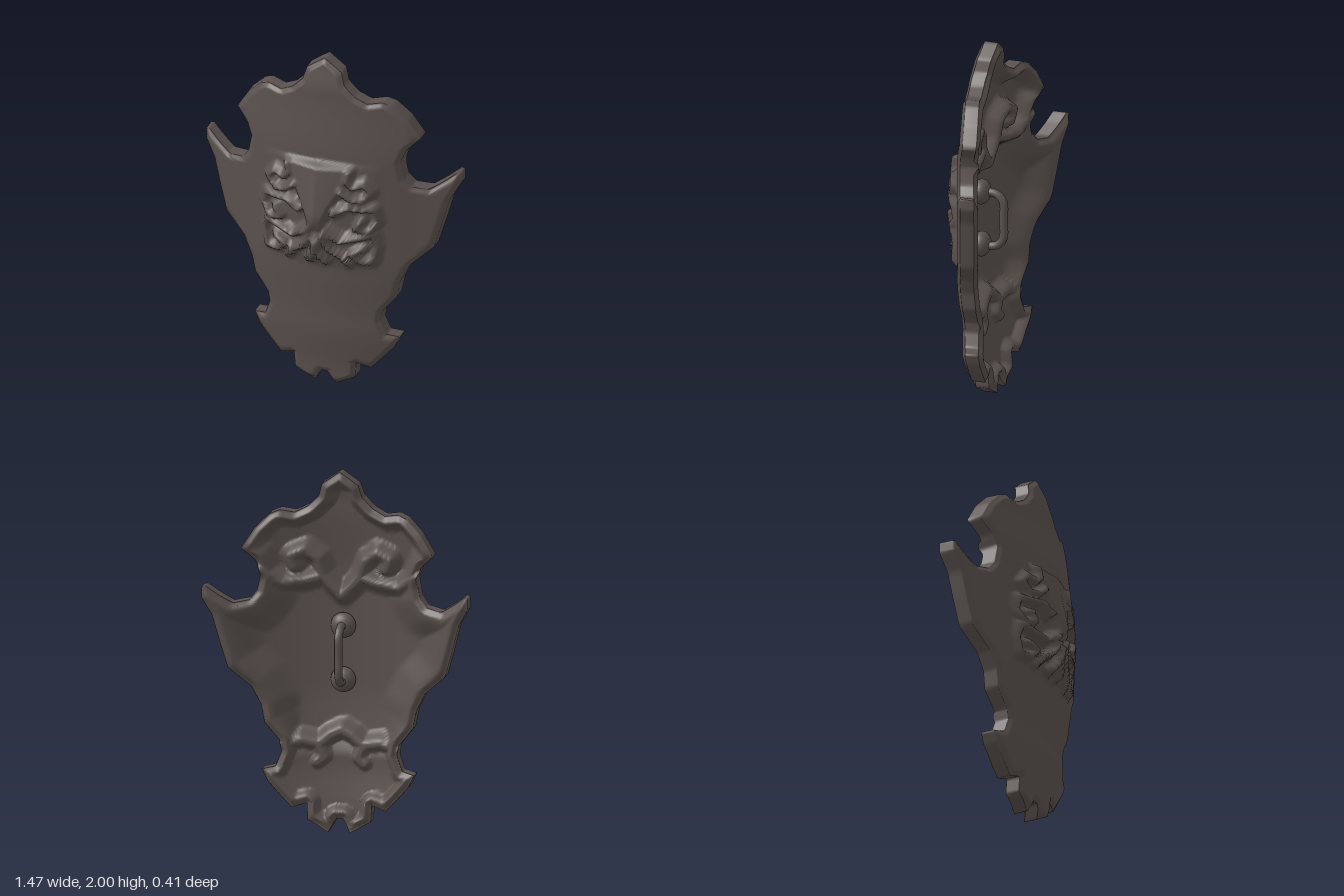
import * as THREE from 'three';
import { mergeVertices } from 'three/addons/utils/BufferGeometryUtils.js';

const smooth = THREE.MathUtils.smoothstep;

// Half outline from top to bottom: x, y and the height of the matching point on the spine
const OUTLINE = [
  [0, 2, 1.85], [0.1, 1.93, 1.83], [0.12, 1.86, 1.8], [0.18, 1.8, 1.74], [0.25, 1.765, 1.69],
  [0.33, 1.78, 1.62], [0.38, 1.76, 1.56], [0.46, 1.68, 1.48], [0.53, 1.57, 1.41], [0.46, 1.5, 1.37],
  [0.43, 1.43, 1.33], [0.45, 1.33, 1.24], [0.49, 1.28, 1.15], [0.58, 1.265, 1.02], [0.66, 1.32, 0.87],
  [0.715, 1.365, 0.79], [0.735, 1.36, 0.76], [0.735, 1.3, 0.72], [0.68, 1.2, 0.7], [0.64, 1.05, 0.66],
  [0.6, 0.91, 0.62], [0.48, 0.8, 0.58], [0.43, 0.7, 0.55], [0.41, 0.6, 0.53], [0.33, 0.5, 0.5],
  [0.32, 0.44, 0.47], [0.35, 0.36, 0.42], [0.42, 0.345, 0.36], [0.39, 0.28, 0.31], [0.32, 0.2, 0.27],
  [0.26, 0.135, 0.23], [0.18, 0.16, 0.2], [0.175, 0.07, 0.16], [0.06, 0.005, 0.12], [0.02, 0.08, 0.1],
  [0, 0.08, 0.08],
];

// Depth of the front along the centre line: y, z
const CENTRE = [[0, 0.01], [0.06, 0.03], [0.4, 0.065], [0.8, 0.09], [1.4, 0.09], [1.8, 0.06], [2, 0.03]];

// Raised ribs and curls on the back
const BACK_RIBS = [
  [[0.43, 1.44], [0.32, 1.37], [0.2, 1.38], [0.1, 1.41], [0.05, 1.35], [0, 1.3]],
  [[0.1, 1.41], [0.13, 1.5], [0.2, 1.55], [0.27, 1.52], [0.25, 1.46]],
  [[0.32, 0.47], [0.22, 0.5], [0.12, 0.48], [0.06, 0.53], [0, 0.56]],
  [[0.12, 0.47], [0.09, 0.41], [0.13, 0.38]],
];

// Leafy curls around the mask on the front
const LEAVES = [
  [[0.18, 1.38], [0.17, 1.32], [0.2, 1.29], [0.26, 1.31], [0.3, 1.26], [0.25, 1.21], [0.19, 1.22], [0.14, 1.26]],
  [[0.1, 1.13], [0.17, 1.17], [0.25, 1.16], [0.32, 1.16], [0.34, 1.08], [0.29, 1.02], [0.22, 1.04], [0.25, 1.09]],
  [[0.04, 1.02], [0.13, 0.96], [0.22, 0.98], [0.31, 1.0], [0.33, 0.92], [0.31, 0.83], [0.24, 0.83], [0.19, 0.88], [0.25, 0.91]],
  [[0.03, 0.98], [0.08, 0.9], [0.14, 0.86], [0.18, 0.8]],
  [[0, 0.97], [0.01, 0.88], [0.05, 0.81]],
];

// Shortest distance from a point to a polyline
function distance(x, y, path) {
  let best = Infinity;
  for (let i = 0; i < path.length - 1; i++) {
    const [ax, ay] = path[i], [bx, by] = path[i + 1];
    const dx = bx - ax, dy = by - ay;
    const t = THREE.MathUtils.clamp(((x - ax) * dx + (y - ay) * dy) / (dx * dx + dy * dy), 0, 1);
    best = Math.min(best, Math.hypot(x - ax - dx * t, y - ay - dy * t));
  }
  return best;
}

// Height of the nearest rib, from 0 to 1
function ribs(x, y, paths, inner, outer) {
  const d = Math.min(...paths.map((path) => distance(x, y, path)));
  return 1 - smooth(d, inner, outer);
}

// Bowed plate without relief; the wings run straight beyond the curve
function plateZ(x, y) {
  let i = 0;
  while (i < CENTRE.length - 2 && y > CENTRE[i + 1][0]) i++;
  const [y0, z0] = CENTRE[i], [y1, z1] = CENTRE[i + 1];
  const inner = Math.min(Math.abs(x), 0.5);
  return z0 + (z1 - z0) * smooth(y, y0, y1) - 0.43 * inner * inner - 0.37 * (Math.abs(x) - inner);
}

// Plate with a low pyramid of mask and leaves, highest at the nose
function frontZ(x, y) {
  const a = Math.abs(x);
  const edge = smooth(y, 0.74, 0.84) * (1 - smooth(y, 1.38, 1.42)) * (1 - smooth(a, 0.3, 0.38));
  const pyramid = Math.max(0, 0.115 - 0.2 * Math.abs(y - 1.1)) * (1 - Math.min(a / 0.42, 1));
  const brow = 0.035 + 0.15 * smooth(y, 1.02, 1.39);
  const mask = (1 - smooth(a, brow * 0.8, brow + 0.025)) * smooth(y, 0.97, 1.05);
  const leaf = ribs(a, y, LEAVES, 0.005, 0.036);
  return plateZ(x, y) + edge * (pyramid * (0.35 + 0.65 * Math.max(mask, leaf)) + 0.024 * leaf);
}

// Hollow back with a thick rim, broad on the wings, and ribs crossing top and bottom
function backZ(x, y) {
  const a = Math.abs(x);
  const d = distance(a, y, OUTLINE);
  const wing = smooth(y, 0.5, 0.75) * (1 - smooth(y, 1.3, 1.42));
  const rim = 0.085 * (1 - smooth(d, 0.035, 0.1 + 0.12 * wing)) - 0.025 * (1 - smooth(d, 0, 0.04));
  const rib = (y > 1 ? 0.09 : 0.07) * ribs(a, y, BACK_RIBS, 0.01, 0.07);
  const foot = 0.035 * (1 - smooth(y, 0.4, 0.55));
  return plateZ(x, y) - 0.035 - Math.max(rim, rib, foot);
}

function shieldGeometry() {
  const STEP = 5, N = 52;
  // Closed list of edge points with their spine points
  const half = [];
  for (let i = 0; i < OUTLINE.length - 1; i++) {
    for (let k = 0; k < STEP; k++) {
      half.push(OUTLINE[i].map((v, c) => v + (OUTLINE[i + 1][c] - v) * k / STEP));
    }
  }
  half.push(OUTLINE[OUTLINE.length - 1]);
  const ring = [...half, ...half.slice(1, -1).reverse().map(([x, y, s]) => [-x, y, s])];

  // Each strip runs from the spine out over the front, round the edge and back
  const positions = [], index = [];
  const rows = 2 * N + 2;
  for (const [ex, ey, sy] of ring) {
    for (let j = 0; j < rows; j++) {
      const front = j <= N;
      const u = (front ? j : rows - 1 - j) / N;
      const s = 1.3 * u - 0.3 * u * u;
      const x = ex * s, y = sy + (ey - sy) * s;
      const bevel = 0.018 * (1 - smooth(distance(Math.abs(x), y, OUTLINE), 0, 0.03));
      positions.push(x, y, front ? frontZ(x, y) - bevel : backZ(x, y));
    }
  }
  for (let i = 0; i < ring.length; i++) {
    const n = (i + 1) % ring.length;
    for (let j = 0; j < rows - 1; j++) {
      const a = i * rows + j, b = n * rows + j;
      index.push(a, b, a + 1, b, b + 1, a + 1);
    }
  }
  let geometry = new THREE.BufferGeometry();
  geometry.setAttribute('position', new THREE.Float32BufferAttribute(positions, 3));
  geometry.setIndex(index);
  geometry = mergeVertices(geometry, 1e-4);
  geometry.computeVertexNormals();
  return geometry;
}

export function createModel() {
  const model = new THREE.Group();
  const iron = new THREE.MeshStandardMaterial({ color: 0x5a514d });
  iron.name = 'darkIron';

  function add(parent, name, geometry) {
    const mesh = new THREE.Mesh(geometry, iron);
    mesh.name = name;
    parent.add(mesh);
    return mesh;
  }

  add(model, 'shieldPlate', shieldGeometry());

  // Grip on the back with a round boss at each end
  const handle = new THREE.Group();
  handle.name = 'handle';
  model.add(handle);
  const grip = [[1.13, 0.05], [1.13, -0.05], [1.09, -0.093], [0.98, -0.097], [0.87, -0.093], [0.83, -0.05], [0.83, 0.05]];
  const gripCurve = new THREE.CatmullRomCurve3(grip.map(([y, z]) => new THREE.Vector3(0, y, z)));
  add(handle, 'grip', new THREE.TubeGeometry(gripCurve, 40, 0.023, 10));
  for (const y of [1.13, 0.83]) {
    const boss = add(handle, 'boss', new THREE.SphereGeometry(0.07, 16, 12));
    boss.position.set(0, y, 0.03);
    boss.scale.z = 0.75;
  }
  return model;
}
